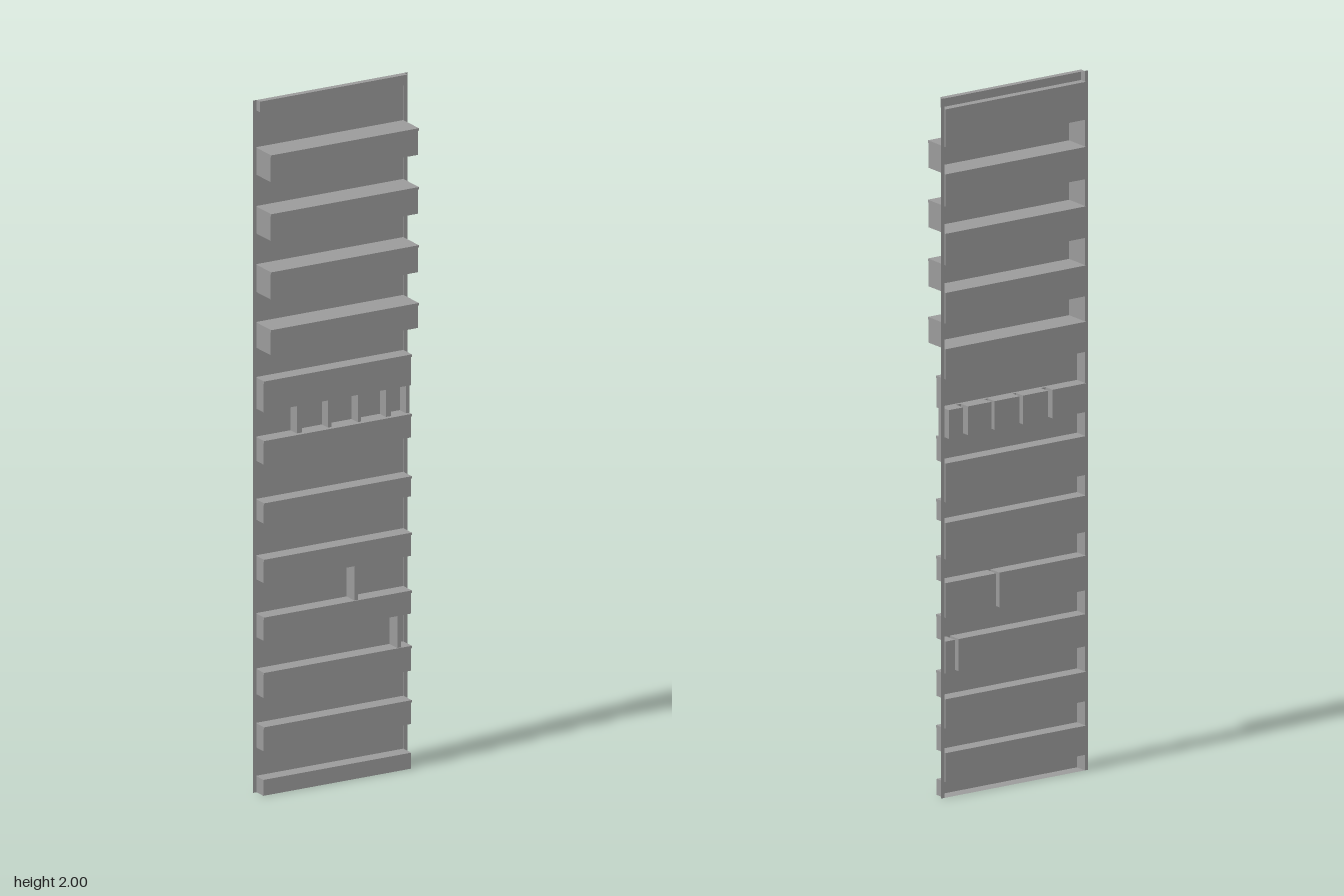
import * as THREE from 'three';
import { mergeGeometries } from 'three/addons/utils/BufferGeometryUtils.js';

const HALF = 0.236;   // half width of the bays
const EDGE = 0.247;   // half width of the whole wall
const WALL = -0.037;  // plane of the border
const GLASS = -0.042; // plane of the recessed panels

const material = new THREE.MeshStandardMaterial({ color: 0x9a9a9a, side: THREE.DoubleSide });

// Rectangles facing front, sideways (dir +1 or -1) and up or down
const facing = (x0, x1, y0, y1, z) =>
  new THREE.PlaneGeometry(x1 - x0, y1 - y0).translate((x0 + x1) / 2, (y0 + y1) / 2, z);
const upright = (x, y0, y1, z0, z1, dir) =>
  new THREE.PlaneGeometry(z1 - z0, y1 - y0).rotateY(dir * Math.PI / 2)
    .translate(x, (y0 + y1) / 2, (z0 + z1) / 2);
const level = (y, x0, x1, z0, z1, dir) =>
  new THREE.PlaneGeometry(x1 - x0, z1 - z0).rotateX(-dir * Math.PI / 2)
    .translate((x0 + x1) / 2, y, (z0 + z1) / 2);

export function createModel() {
  const group = new THREE.Group();
  const add = (name, ...parts) => {
    const mesh = new THREE.Mesh(mergeGeometries(parts), material);
    mesh.name = name;
    group.add(mesh);
  };

  // Projecting bands from bottom to top: [bottom, top, front]
  const bands = [
    [0, 0.046, 0], [0.129, 0.199, 0], [0.283, 0.356, 0], [0.448, 0.516, 0],
    [0.615, 0.683, 0], [0.787, 0.846, 0], [0.957, 1.026, 0], [1.108, 1.198, 0],
    [1.284, 1.357, 0.038], [1.445, 1.524, 0.038], [1.614, 1.692, 0.038],
    [1.784, 1.862, 0.038], [1.97, 2, -0.019],
  ];
  const last = bands.length - 1;

  // Mullions of the divided rows, keyed by the band below: front plane and x spans
  const mullions = {
    2: { front: 0, spans: [[0.192, 0.204]] },
    3: { front: 0, spans: [[0.055, 0.066]] },
    6: {
      front: -0.009,
      spans: [[-0.124, -0.108], [-0.024, -0.013], [0.071, 0.082], [0.161, 0.177], [0.225, HALF]],
    },
  };

  bands.forEach(([y0, y1, front], i) => {
    // Band front and ends, hollow towards the back
    add('band',
      facing(-HALF, HALF, y0, y1, front),
      upright(HALF, y0, y1, WALL, front, 1),
      upright(-HALF, y0, y1, WALL, front, -1));
    if (i === 0) add('bottomEdge', level(y0, -HALF, HALF, WALL, front, -1));
    if (i === last) {
      add('topEdge', level(y1, -HALF, HALF, WALL, front, 1));
      return;
    }

    // Thin lip along the upper front edge
    if (i > 0) {
      add('bandLip', new THREE.BoxGeometry(2 * HALF, 0.007, 0.004)
        .translate(0, y1 - 0.0035, front + 0.002));
    }

    // Window row above the band: each pane carries its sill, head and jambs
    const [top, , frontAbove] = bands[i + 1];
    const row = mullions[i] || { front: WALL, spans: [] };
    const pane = (x0, x1) => add('windowPanel',
      facing(x0, x1, y1, top, GLASS),
      level(y1, x0, x1, GLASS, front, 1),
      level(top, x0, x1, GLASS, frontAbove, -1),
      upright(x0, y1, top, GLASS, x0 > -HALF ? row.front : WALL, 1),
      upright(x1, y1, top, GLASS, x1 < HALF ? row.front : WALL, -1));

    let x = -HALF;
    for (const [m0, m1] of row.spans) {
      pane(x, m0);
      // Mullion, open into the hollow bands above and below
      const parts = [facing(m0, m1, y1, top, row.front)];
      if (row.front < front) parts.push(
        level(y1, m0, m1, row.front, front, 1),
        level(top, m0, m1, row.front, frontAbove, -1));
      if (m1 === HALF) parts.push(upright(HALF, y1, top, WALL, row.front, 1));
      add('mullion', ...parts);
      x = m1;
    }
    if (x < HALF) pane(x, HALF);
  });

  // Flat border strips down both sides
  add('leftBorder', facing(HALF, EDGE, 0, 2, WALL));
  add('rightBorder', facing(-EDGE, -HALF, 0, 2, WALL));
  return group;
}
